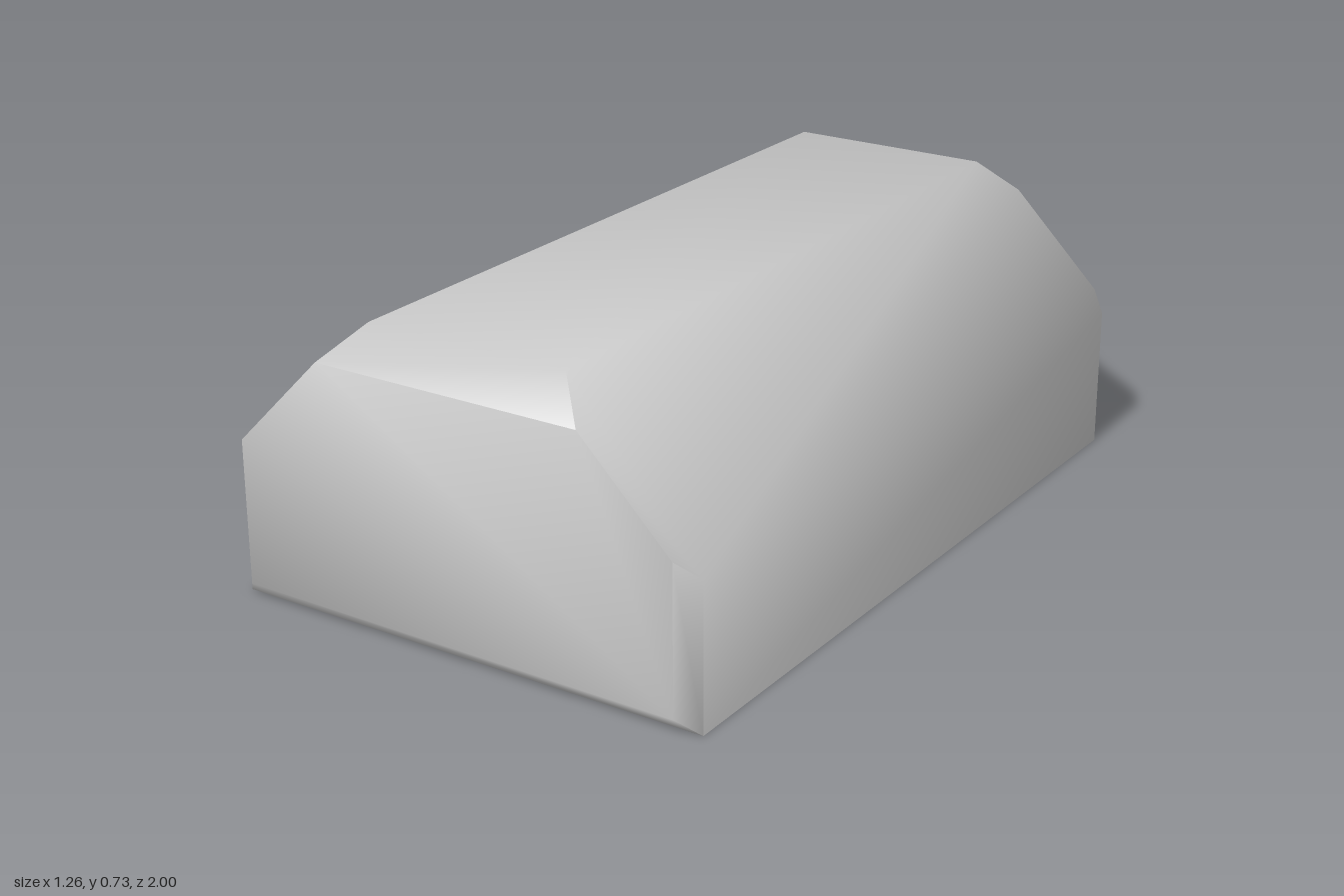
import * as THREE from 'three';
import { toCreasedNormals } from 'three/addons/utils/BufferGeometryUtils.js';

// Corner points of one quarter (+x, +z)
const A = [0.63, 0, 0.955];      // floor corner
const B = [0.63, 0.36, 0.955];   // top of the side wall
const C = [0.265, 0.725, 0.915]; // roof corner
const D = [0.35, 0.64, 1];       // end face, upper
const E = [0.585, 0.405, 1];     // end face, shoulder
const F = [0.585, 0.045, 1];     // end face, lower

const at = (p, sx, sz) => new THREE.Vector3(p[0] * sx, p[1], p[2] * sz);

// Fan-triangulates convex polygons, turning each one outward
function solidFromFaces(faces, centre) {
  const pos = [];
  for (const f of faces) {
    const n = f[1].clone().sub(f[0]).cross(f[2].clone().sub(f[0]));
    const outward = n.dot(f[0].clone().sub(centre)) > 0;
    for (let i = 1; i < f.length - 1; i++) {
      const tri = outward ? [f[0], f[i], f[i + 1]] : [f[0], f[i + 1], f[i]];
      for (const v of tri) pos.push(v.x, v.y, v.z);
    }
  }
  const g = new THREE.BufferGeometry();
  g.setAttribute('position', new THREE.Float32BufferAttribute(pos, 3));
  return g;
}

export function createModel() {
  const group = new THREE.Group();
  group.name = 'bevelledBlock';
  const faces = [];

  // Roof and floor
  for (const p of [C, A]) faces.push([at(p, 1, 1), at(p, -1, 1), at(p, -1, -1), at(p, 1, -1)]);

  // Each half is the other turned 180 degrees about y
  for (const s of [1, -1]) {
    const q = (p, sx, sz) => at(p, sx * s, sz * s);
    // Side wall and sloping shoulder
    faces.push([q(A, 1, 1), q(B, 1, 1), q(B, 1, -1), q(A, 1, -1)]);
    faces.push([
      ...[B, E, D, C].map((p) => q(p, 1, 1)),
      ...[C, D, E, B].map((p) => q(p, 1, -1)),
    ]);
    // End face with its top and bottom bevels
    faces.push([...[F, E, D].map((p) => q(p, 1, 1)), ...[D, E, F].map((p) => q(p, -1, 1))]);
    faces.push([q(C, 1, 1), q(D, 1, 1), q(D, -1, 1), q(C, -1, 1)]);
    faces.push([q(A, 1, 1), q(F, 1, 1), q(F, -1, 1), q(A, -1, 1)]);
    // Upright corner bevels
    for (const sx of [1, -1]) faces.push([A, B, E, F].map((p) => q(p, sx, 1)));
  }

  const geometry = toCreasedNormals(solidFromFaces(faces, new THREE.Vector3(0, 0.3, 0)), 1.2);
  const body = new THREE.Mesh(geometry, new THREE.MeshStandardMaterial({ color: 0xcccccc }));
  body.name = 'body';
  group.add(body);
  return group;
}
